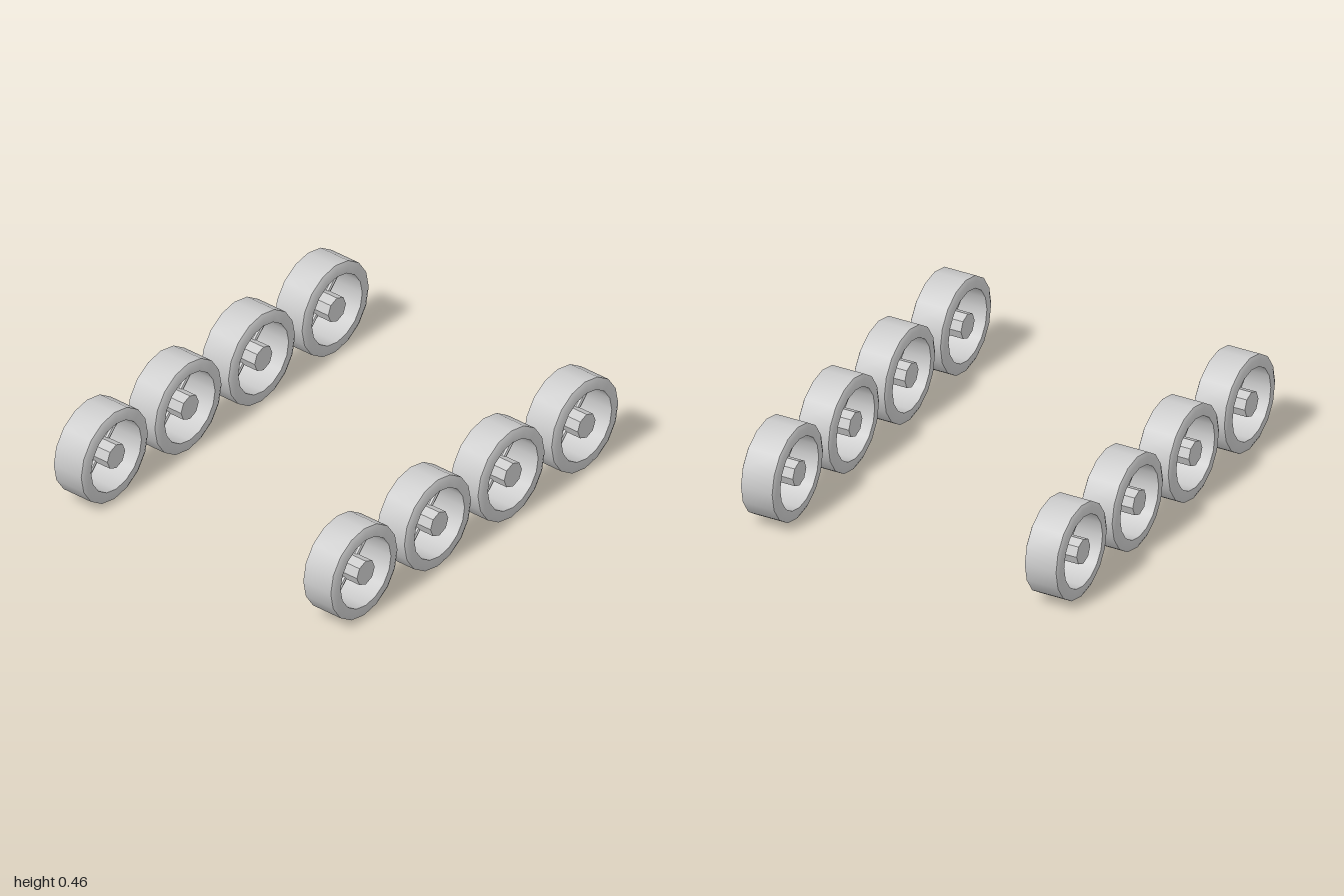
import * as THREE from 'three';
import { toCreasedNormals } from 'three/addons/utils/BufferGeometryUtils.js';

const R = 0.232, BORE = 0.175, HALF = 0.09, SIDES = 16;

export function createModel() {
  const model = new THREE.Group();
  model.name = 'wheelSet';
  const smooth = new THREE.MeshStandardMaterial({ color: 0xcccccc });
  const flat = new THREE.MeshStandardMaterial({ color: 0xcccccc, flatShading: true });

  // Tyre ring: closed, chamfered profile turned round the axle
  const profile = [
    [BORE, -HALF], [0.212, -HALF], [R, -0.08],
    [R, 0.08], [0.212, HALF], [BORE, HALF], [BORE, -HALF],
  ].map(([r, y]) => new THREE.Vector2(r, y));
  const tyreGeo = toCreasedNormals(
    new THREE.LatheGeometry(profile, SIDES).rotateZ(-Math.PI / 2), 0.6);

  // Hub: eight-sided axle stub, flush with the tyre faces
  const hubGeo = new THREE.CylinderGeometry(0.062, 0.062, 2 * HALF, 8).rotateZ(-Math.PI / 2);

  // Spoke: thin rod reaching from inside the hub into the ring
  const inner = 0.04, outer = BORE + 0.01;
  const spokeGeo = new THREE.CylinderGeometry(0.013, 0.013, outer - inner, 8)
    .translate(0, (inner + outer) / 2, 0);

  function makeWheel() {
    const wheel = new THREE.Group();
    const add = (geo, mat, name) => {
      const mesh = new THREE.Mesh(geo, mat);
      mesh.name = name;
      wheel.add(mesh);
      return mesh;
    };
    add(tyreGeo, smooth, 'tyre');
    add(hubGeo, flat, 'hub');
    for (let i = 0; i < 4; i++) {
      add(spokeGeo, flat, 'spoke').rotation.x = Math.PI / 4 + i * Math.PI / 2;
    }
    return wheel;
  }

  // Four wheels in a row on each side
  for (const side of [1, -1]) {
    for (let i = 0; i < 4; i++) {
      const wheel = makeWheel();
      wheel.name = (side > 0 ? 'leftWheel' : 'rightWheel') + (i + 1);
      wheel.position.set(side * 0.727, R, 0.768 - i * 0.512);
      model.add(wheel);
    }
  }
  return model;
}
